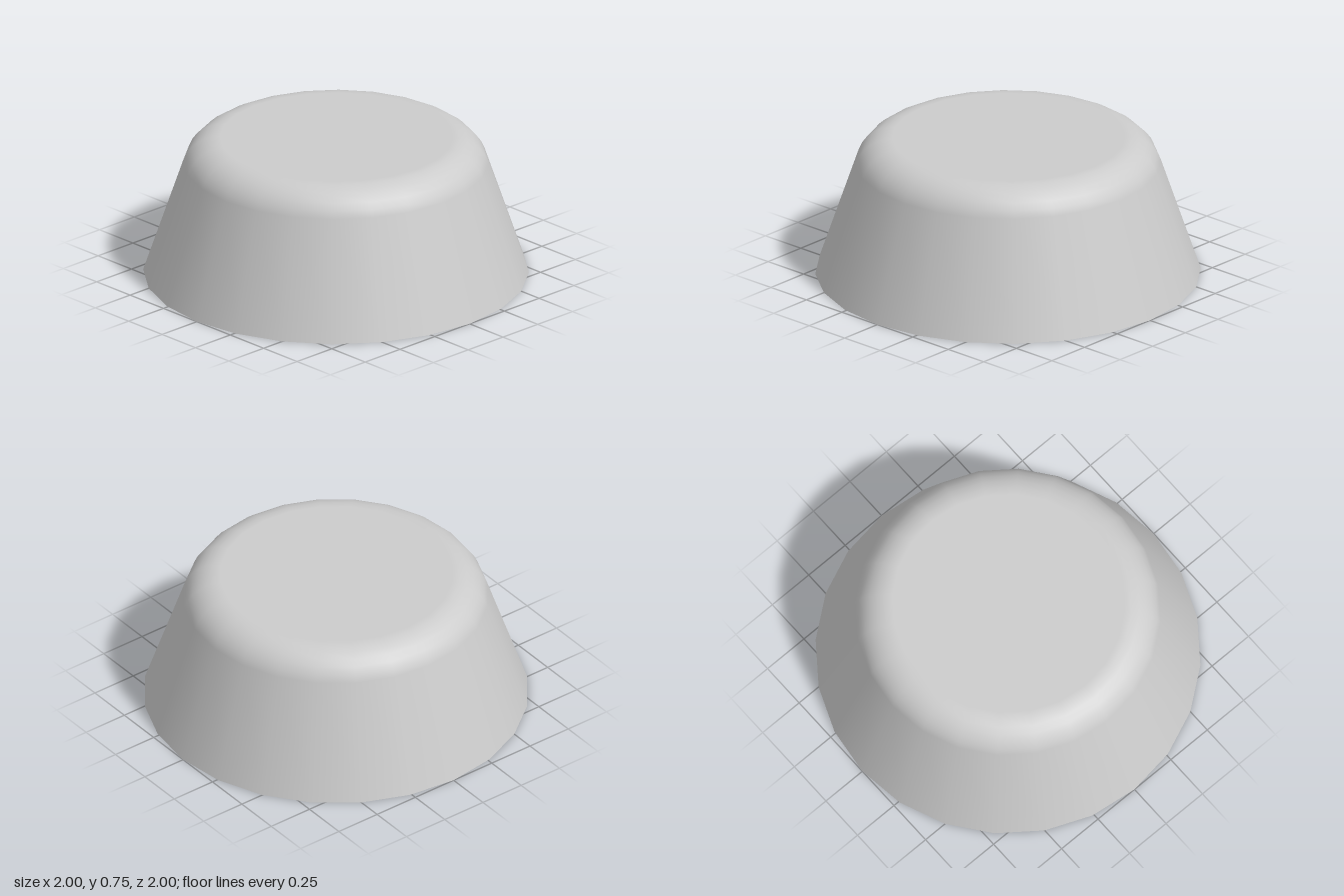
import * as THREE from 'three';

const SIDES = 24;
const HEIGHT = 0.75;
const FILLET = 0.2; // radius of the rounded upper edge
const STEPS = 6;

export function createModel() {
  const group = new THREE.Group();
  group.name = 'taperedCup';

  // Profile from the open rim up the sloping wall, round the edge, to the centre
  const wallAngle = Math.atan(0.339);
  const cx = 0.603, cy = HEIGHT - FILLET;
  const profile = [new THREE.Vector2(1, 0)];
  const angles = [wallAngle];
  for (let i = 0; i <= STEPS; i++) {
    const a = THREE.MathUtils.lerp(wallAngle, Math.PI / 2, i / STEPS);
    profile.push(new THREE.Vector2(cx + FILLET * Math.cos(a), cy + FILLET * Math.sin(a)));
    angles.push(a);
  }
  profile.push(new THREE.Vector2(0, HEIGHT));
  angles.push(Math.PI / 2);

  const geometry = new THREE.LatheGeometry(profile, SIDES);

  // Exact normals keep the wall straight and the top flat where they meet the fillet
  const normal = geometry.attributes.normal;
  for (let i = 0; i <= SIDES; i++) {
    const turn = (i / SIDES) * Math.PI * 2;
    angles.forEach((a, j) => {
      normal.setXYZ(i * angles.length + j,
        Math.cos(a) * Math.sin(turn), Math.sin(a), Math.cos(a) * Math.cos(turn));
    });
  }

  // Thin shell, open underneath
  const shell = new THREE.Mesh(geometry,
    new THREE.MeshStandardMaterial({ color: 0xcccccc, side: THREE.DoubleSide }));
  shell.name = 'shell';
  group.add(shell);
  return group;
}
